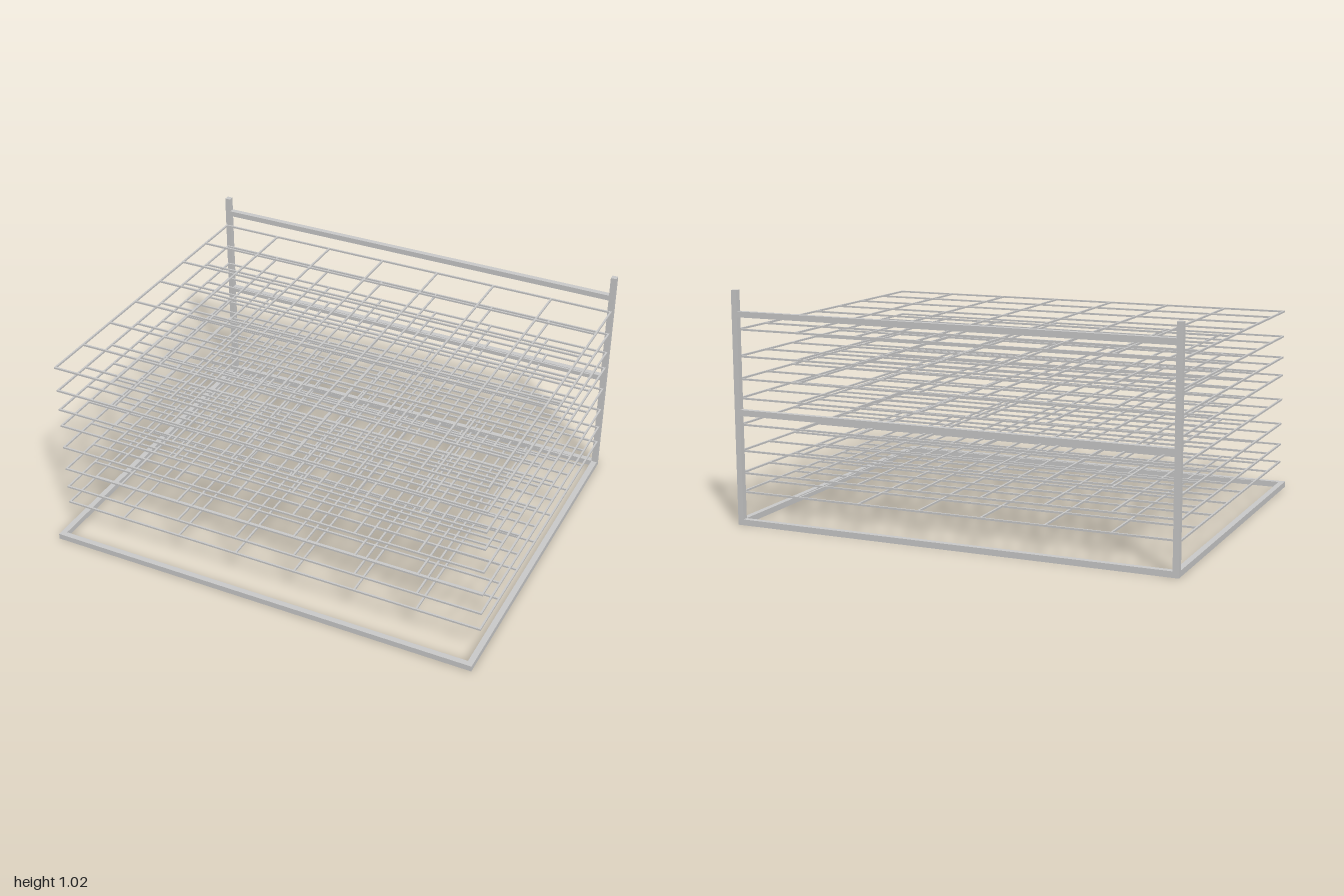
import * as THREE from 'three';

const material = new THREE.MeshStandardMaterial({ color: 0xcccccc, flatShading: true });

// Box given by its minimum and maximum corners
function bar(name, min, max) {
  const size = max.map((v, i) => v - min[i]);
  const mesh = new THREE.Mesh(new THREE.BoxGeometry(...size), material);
  mesh.position.set(...max.map((v, i) => (v + min[i]) / 2));
  mesh.name = name;
  return mesh;
}

// Wire grid shelf lying flat at height y
function wireShelf(y) {
  const shelf = new THREE.Group();
  const right = -0.994, left = 0.991, back = -0.784, front = 0.713, r = 0.004, cells = 7;
  for (let i = 0; i <= cells; i++) {
    const wx = right + ((left - right) * i) / cells;
    const wz = back + ((front - back) * i) / cells;
    shelf.add(bar('lengthWire', [wx - r, -r, back - r], [wx + r, r, front + r]));
    shelf.add(bar('crossWire', [right - r, -r, wz - r], [left + r, r, wz + r]));
  }
  shelf.position.y = y;
  return shelf;
}

export function createModel() {
  const model = new THREE.Group();
  const t = 0.026, X = 1, Z = 0.813;

  // Base frame
  const base = new THREE.Group();
  base.name = 'baseFrame';
  base.add(
    bar('frontBaseRail', [-X, 0, Z - t], [X, t, Z]),
    bar('backBaseRail', [-X, 0, -Z], [X, t, -Z + t]),
    bar('rightBaseRail', [-X, 0, -Z + t], [-X + t, t, Z - t]),
    bar('leftBaseRail', [X - t, 0, -Z + t], [X, t, Z - t])
  );
  model.add(base);

  // Back posts, one slightly taller, and the rails between them
  const backFrame = new THREE.Group();
  backFrame.name = 'backFrame';
  backFrame.add(
    bar('rightPost', [-X, t, -Z], [-X + t, 0.997, -Z + t]),
    bar('leftPost', [X - t, t, -Z], [X, 1.023, -Z + t]),
    bar('middleRail', [-X + t, 0.483, -Z], [X - t, 0.509, -Z + t]),
    bar('topRail', [-X + t, 0.908, -Z], [X - t, 0.933, -Z + t])
  );
  model.add(backFrame);

  // Stacked wire shelves
  [0.142, 0.226, 0.324, 0.439, 0.554, 0.638, 0.736, 0.852].forEach((y, i) => {
    const shelf = wireShelf(y);
    shelf.name = `wireShelf${i + 1}`;
    model.add(shelf);
  });
  return model;
}
